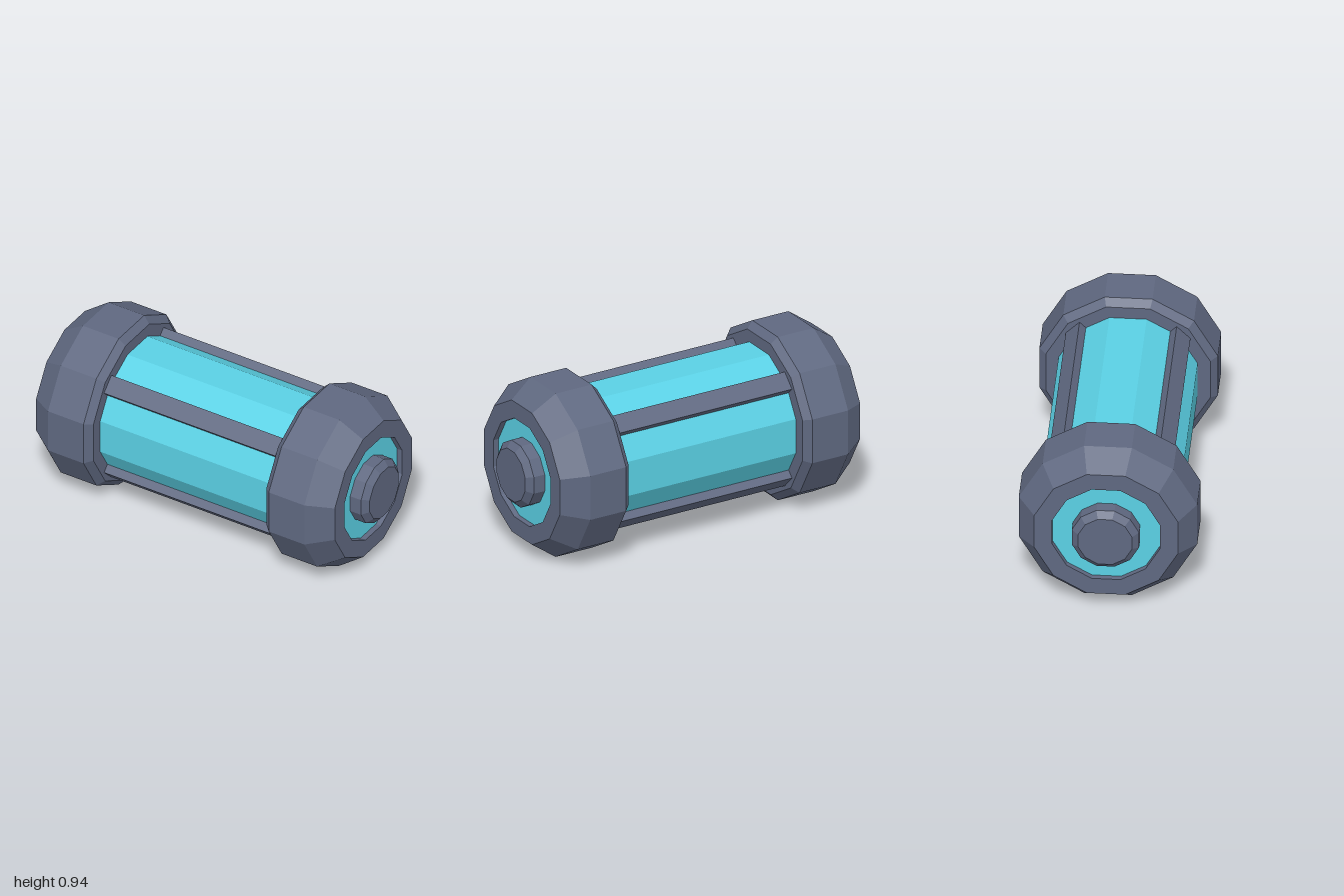
import * as THREE from 'three';

const SIDES = 12;
const STEP = Math.PI / SIDES;          // half a facet, puts flats at top and bottom
const AXIS_Y = 0.472;                  // height of the long axis
const toRadius = (apothem) => apothem / Math.cos(STEP);

export function createModel() {
  const grey = new THREE.MeshStandardMaterial({ color: 0x5f6880, flatShading: true });
  grey.name = 'slate grey';
  const teal = new THREE.MeshStandardMaterial({ color: 0x5ad0e4, flatShading: true });
  teal.name = 'glowing teal';

  const model = new THREE.Group();
  model.name = 'energyCell';

  const add = (parent, name, geometry, material) => {
    const mesh = new THREE.Mesh(geometry, material);
    mesh.name = name;
    parent.add(mesh);
    return mesh;
  };

  // Faceted solid of revolution from [apothem, distance along axis] pairs
  const lathe = (profile) => new THREE.LatheGeometry(
    profile.map(([a, d]) => new THREE.Vector2(toRadius(a), d)), SIDES, STEP);

  // Teal core, whose ends show inside the cap recesses
  const core = add(model, 'core',
    new THREE.CylinderGeometry(toRadius(0.368), toRadius(0.368), 1.8, SIDES, 1, false, STEP), teal);
  core.rotation.z = Math.PI / 2;
  core.position.y = AXIS_Y;

  // Four rails running between the caps
  for (let i = 0; i < 4; i++) {
    const angle = Math.PI / 4 + i * Math.PI / 2;
    const rail = add(model, 'rail' + (i + 1), new THREE.BoxGeometry(1.2, 0.1, 0.103), grey);
    rail.rotation.x = angle;
    rail.position.set(0, AXIS_Y + 0.365 * Math.cos(angle), 0.365 * Math.sin(angle));
  }

  // Chamfered end caps with a recess and a raised button
  for (const [side, name] of [[1, 'left'], [-1, 'right']]) {
    const end = new THREE.Group();
    end.name = name + 'End';
    end.rotation.z = -side * Math.PI / 2;
    end.position.y = AXIS_Y;
    model.add(end);

    add(end, name + 'Cap', lathe([
      [0.35, 0.54], [0.435, 0.54], [0.472, 0.578], [0.472, 0.8],
      [0.38, 0.932], [0.285, 0.932], [0.285, 0.895],
    ]), grey);
    add(end, name + 'Button', lathe([
      [0.178, 0.88], [0.178, 0.968], [0.143, 1], [0, 1],
    ]), grey);
  }

  return model;
}
